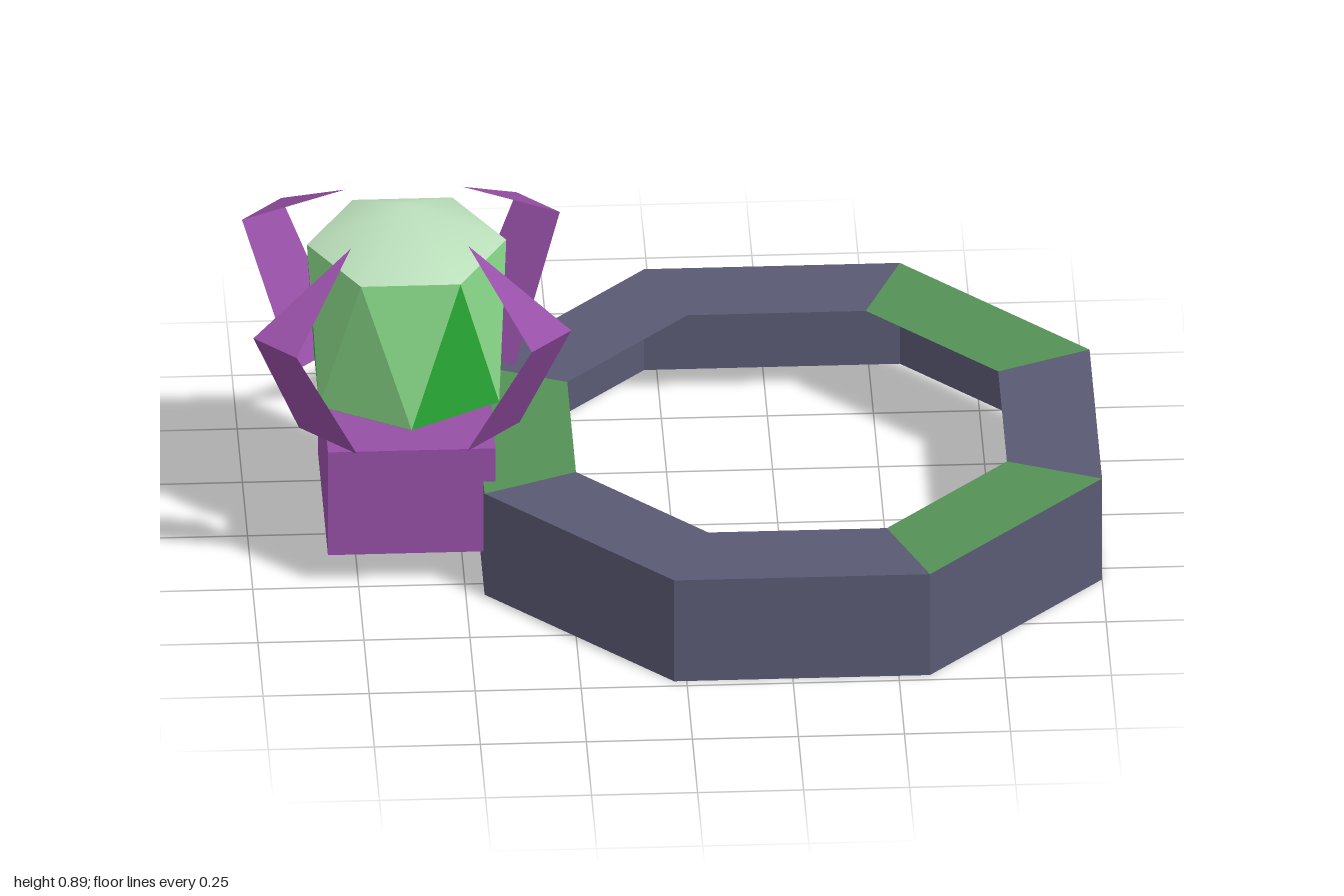
import * as THREE from 'three';
import { mergeVertices } from 'three/addons/utils/BufferGeometryUtils.js';

const mat = (name, color) => new THREE.MeshStandardMaterial({ name, color, side: THREE.DoubleSide });

// Flat-faced mesh from convex polygons (corners counter-clockwise from outside)
function faceted(name, polygons, material) {
  const pos = [];
  for (const p of polygons)
    for (let i = 1; i < p.length - 1; i++) pos.push(...p[0], ...p[i], ...p[i + 1]);
  const geo = new THREE.BufferGeometry();
  geo.setAttribute('position', new THREE.Float32BufferAttribute(pos, 3));
  geo.computeVertexNormals();
  const mesh = new THREE.Mesh(geo, material);
  mesh.name = name;
  return mesh;
}

// Point on a circle around the y axis; angle runs from +x towards +z
const polar = (r, deg, y) => {
  const a = THREE.MathUtils.degToRad(deg);
  return [r * Math.cos(a), y, r * Math.sin(a)];
};

export function createModel() {
  const slate = mat('slate metal', 0x595973);
  const inlay = mat('green inlay', 0x549056);
  const purple = mat('purple metal', 0x964fa5);
  const paleGem = mat('pale gem crown', 0xbbdfbb);
  const lightGem = mat('light gem facet', 0x88d888);
  const deepGem = mat('deep gem facet', 0x2bb038);

  const model = new THREE.Group();
  model.name = 'gemRing';

  // Octagonal band: outer wall and top face only, open underneath
  const band = new THREE.Group();
  band.name = 'band';
  band.position.x = 0.272;
  const outer = 0.728 / Math.cos(Math.PI / 8), inner = 0.508 / Math.cos(Math.PI / 8), h = 0.275;
  const walls = [], plainTop = [], inlayTop = [];
  for (let i = 0; i < 8; i++) {
    const a = i * 45 - 22.5, b = a + 45;
    walls.push([polar(outer, a, 0), polar(outer, a, h), polar(outer, b, h), polar(outer, b, 0)]);
    const top = [polar(outer, a, h), polar(inner, a, h), polar(inner, b, h), polar(outer, b, h)];
    ([1, 4, 7].includes(i) ? inlayTop : plainTop).push(top);
  }
  band.add(
    faceted('bandWall', walls, slate),
    faceted('bandTop', plainTop, slate),
    faceted('bandInlays', inlayTop, inlay));
  model.add(band);

  // Setting that carries the gem
  const setting = new THREE.Group();
  setting.name = 'setting';
  setting.position.x = -0.625;
  model.add(setting);
  const block = new THREE.Mesh(new THREE.BoxGeometry(0.395, 0.28, 0.49), purple);
  block.name = 'settingBlock';
  block.position.y = 0.225;
  setting.add(block);

  // Four bent flat prongs on the diagonals
  for (let i = 0; i < 4; i++) {
    const baseL = [0.276, 0.368, 0.092], baseR = [0.276, 0.368, -0.092];
    const bendL = [0.461, 0.7, 0.069], bendR = [0.461, 0.7, -0.069];
    const tip = [0.195, 0.857, 0];
    const prong = faceted('prong', [[baseL, baseR, bendR, bendL], [bendL, bendR, tip]], purple);
    prong.rotation.y = Math.PI / 4 + i * Math.PI / 2;
    setting.add(prong);
  }

  // Gem: twisted six-sided body, alternate facets deeper in colour, tapering foot
  const gem = new THREE.Group();
  gem.name = 'gem';
  const rTop = 0.235, yTop = 0.79, rLow = 0.245, yLow = 0.42;
  const light = [], deep = [], foot = [];
  for (let i = 0; i < 6; i++) {
    const a = i * 60;
    const t0 = polar(rTop, a, yTop), t1 = polar(rTop, a + 60, yTop);
    const l0 = polar(rLow, a - 30, yLow), l1 = polar(rLow, a + 30, yLow);
    light.push([t0, t1, l1]);
    (i % 2 ? deep : light).push([t0, l1, l0]);
    foot.push([l0, l1, polar(0.14, a + 30, 0.36), polar(0.14, a - 30, 0.36)]);
  }
  gem.add(
    faceted('lightFacets', light, lightGem),
    faceted('deepFacets', deep, deepGem),
    faceted('gemFoot', foot, deepGem));

  // Smoothly shaded low crown
  let crownGeo = new THREE.ConeGeometry(rTop, 0.105, 6, 1, true, Math.PI / 2);
  crownGeo.deleteAttribute('uv');
  crownGeo.deleteAttribute('normal');
  crownGeo = mergeVertices(crownGeo, 1e-4);
  crownGeo.computeVertexNormals();
  const crown = new THREE.Mesh(crownGeo, paleGem);
  crown.name = 'gemCrown';
  crown.position.y = yTop + 0.0525;
  gem.add(crown);
  setting.add(gem);

  return model;
}
